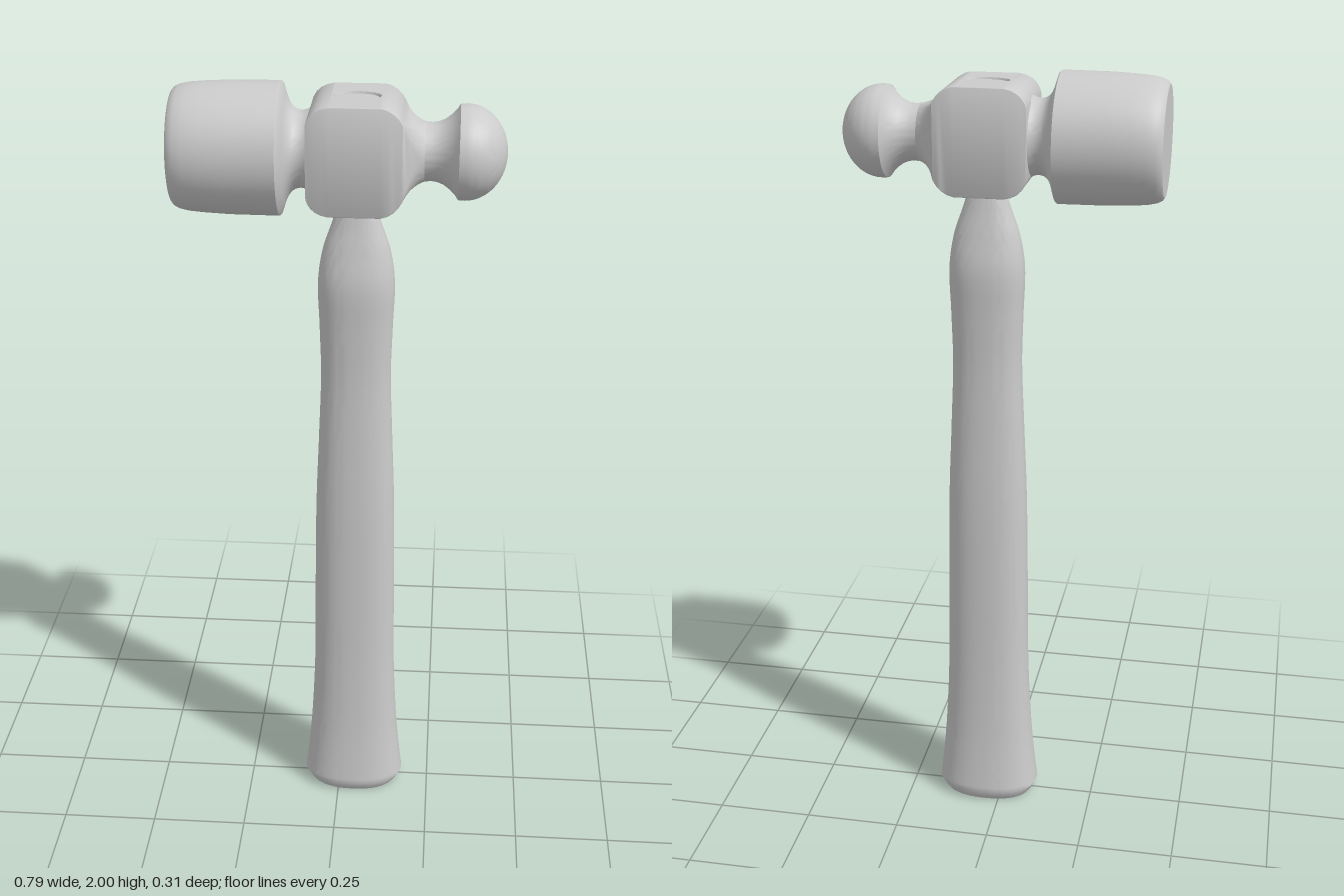
import * as THREE from 'three';
import { toCreasedNormals } from 'three/addons/utils/BufferGeometryUtils.js';

const AXIS_Y = 1.845;   // height of the head's long axis
const EYE_X = 0.04;     // handle centre line
const material = new THREE.MeshStandardMaterial({ color: 0xcccccc });

function part(name, geometry, crease = 0.6) {
  const mesh = new THREE.Mesh(toCreasedNormals(geometry, crease), material);
  mesh.name = name;
  return mesh;
}

// Skin over equal-length rings of points; skip(i, j) leaves a quad open.
function loft(rings, { caps = true, skip = () => false } = {}) {
  const n = rings[0].length, index = [];
  const points = rings.flat();
  for (let i = 0; i < rings.length - 1; i++) {
    for (let j = 0; j < n; j++) {
      if (skip(i, j)) continue;
      const k = (j + 1) % n;
      const a = i * n + j, b = i * n + k, c = b + n, d = a + n;
      index.push(a, b, c, a, c, d);
    }
  }
  if (caps) {
    for (const i of [0, rings.length - 1]) {
      const centre = new THREE.Vector3();
      rings[i].forEach(p => centre.addScaledVector(p, 1 / n));
      points.push(centre);
      for (let j = 0; j < n; j++) {
        const a = i * n + j, b = i * n + (j + 1) % n;
        if (i === 0) index.push(b, a, points.length - 1);
        else index.push(a, b, points.length - 1);
      }
    }
  }
  const g = new THREE.BufferGeometry().setFromPoints(points);
  g.setIndex(index);
  return g;
}

// Rounded rectangle across the head's long axis
function headRing([x, hy, hz, r]) {
  const ring = [], steps = 10;
  const signs = [[1, 1], [-1, 1], [-1, -1], [1, -1]];
  signs.forEach(([sy, sz], k) => {
    for (let s = 0; s <= steps; s++) {
      const a = (k + s / steps) * Math.PI / 2;
      ring.push(new THREE.Vector3(x, AXIS_Y + sy * (hy - r) + r * Math.cos(a), sz * (hz - r) + r * Math.sin(a)));
    }
  });
  return ring;
}

// Level, slightly squared oval around the handle's centre line
function ovalRing(y, hx, hz, power = 2, n = 64) {
  const bend = v => Math.sign(v) * Math.abs(v) ** (2 / power);
  return Array.from({ length: n }, (_, j) => {
    const a = j / n * Math.PI * 2;
    return new THREE.Vector3(EYE_X + hx * bend(Math.sin(a)), y, hz * bend(Math.cos(a)));
  });
}

// Turned part lying along x, from [x, radius] pairs
function turned(name, profile) {
  const g = new THREE.LatheGeometry(profile.map(([x, r]) => new THREE.Vector2(r, x)), 64);
  g.rotateZ(-Math.PI / 2).translate(0, AXIS_Y, 0);
  return part(name, g);
}

export function createModel() {
  const model = new THREE.Group();
  model.name = 'hammer';
  const head = new THREE.Group();
  head.name = 'head';
  model.add(head);

  // Flat striking end and its neck
  head.add(turned('strikingFace', [
    [-0.395, 0], [-0.395, 0.132], [-0.39, 0.139], [-0.378, 0.145], [-0.355, 0.150], [-0.32, 0.153],
    [-0.26, 0.156], [-0.14, 0.157], [-0.137, 0.154], [-0.128, 0.126], [-0.121, 0.110],
    [-0.113, 0.099], [-0.104, 0.093], [-0.092, 0.090], [-0.08, 0.092], [-0.068, 0.098],
  ]));

  // Rounded peen on its neck
  const peen = [[0.2, 0.0695], [0.215, 0.068], [0.23, 0.070], [0.245, 0.076], [0.26, 0.087], [0.272, 0.099], [0.28, 0.111]];
  for (let i = 0; i <= 20; i++) {
    const a = i / 20 * Math.PI / 2;
    peen.push([0.295 + 0.098 * Math.sin(a), 0.112 * Math.cos(a)]);
  }
  head.add(turned('ballPeen', peen));

  // Cheeks: flat-sided block that blends into the round neck
  const E = 0.002;
  const sections = [
    [-0.074, 0.085, 0.11, E], [-0.071, 0.096, 0.11, E], [-0.063, 0.109, 0.11, E], [-0.052, 0.119, 0.11, E],
    [-0.038, 0.126, 0.11, E], [-0.02, 0.13, 0.11, E], [0.1, 0.13, 0.11, E], [0.115, 0.126, 0.11, E],
    [0.13, 0.117, 0.11, E], [0.141, 0.106, 0.11, E], [0.15, 0.092, 0.11, E], [0.158, 0.083, 0.101, 0.02],
    [0.168, 0.077, 0.091, 0.04], [0.18, 0.073, 0.081, 0.055], [0.19, 0.071, 0.075, 0.064], [0.2, 0.0695, 0.0695, 0.0695],
  ];
  const top = 43;   // the quad that spans the top face
  head.add(part('cheeks', loft(sections.map(headRing), { skip: (i, j) => i === 5 && j === top })));

  // Top plate with the oval eye
  const plate = new THREE.Shape();
  const w = 0.11 - E;
  plate.moveTo(-0.02, -w).lineTo(0.1, -w).lineTo(0.1, w).lineTo(-0.02, w).closePath();
  plate.holes.push(new THREE.Path().absellipse(EYE_X, 0, 0.057, 0.035, 0, Math.PI * 2, true));
  const plateGeometry = new THREE.ShapeGeometry(plate, 32);
  plateGeometry.rotateX(-Math.PI / 2).translate(0, AXIS_Y + 0.13, 0);
  head.add(part('eyePlate', plateGeometry));

  // Bevel leading down into the eye
  head.add(part('eyeBevel', loft([
    ovalRing(1.975, 0.057, 0.035), ovalRing(1.967, 0.053, 0.032), ovalRing(1.955, 0.052, 0.031),
  ].reverse().map(r => r.reverse()), { caps: false })));

  // Handle: [height, half width, half depth]
  const profile = [
    [0.03, 0.136, 0.097], [0.1, 0.128, 0.091], [0.2, 0.119, 0.084], [0.4, 0.109, 0.077], [0.65, 0.106, 0.074],
    [0.9, 0.102, 0.071], [1.1, 0.094, 0.065], [1.27, 0.088, 0.061], [1.4, 0.091, 0.063], [1.52, 0.094, 0.065],
    [1.6, 0.082, 0.052], [1.66, 0.062, 0.040], [1.72, 0.042, 0.030],
  ];
  const curve = new THREE.CatmullRomCurve3(profile.map(([y, a, b]) => new THREE.Vector3(a, y, b)));
  const rings = [ovalRing(0, 0.118, 0.082, 2.3), ovalRing(0.008, 0.124, 0.087, 2.3)];
  curve.getPoints(72).forEach(p => rings.push(ovalRing(p.y, p.x, p.z, 2.3)));
  model.add(part('handle', loft(rings)));

  // End of the handle, seen in the eye
  model.add(part('handleTip', loft([ovalRing(1.7, 0.04, 0.028), ovalRing(1.8, 0.05, 0.03), ovalRing(1.971, 0.05, 0.03)])));
  return model;
}
